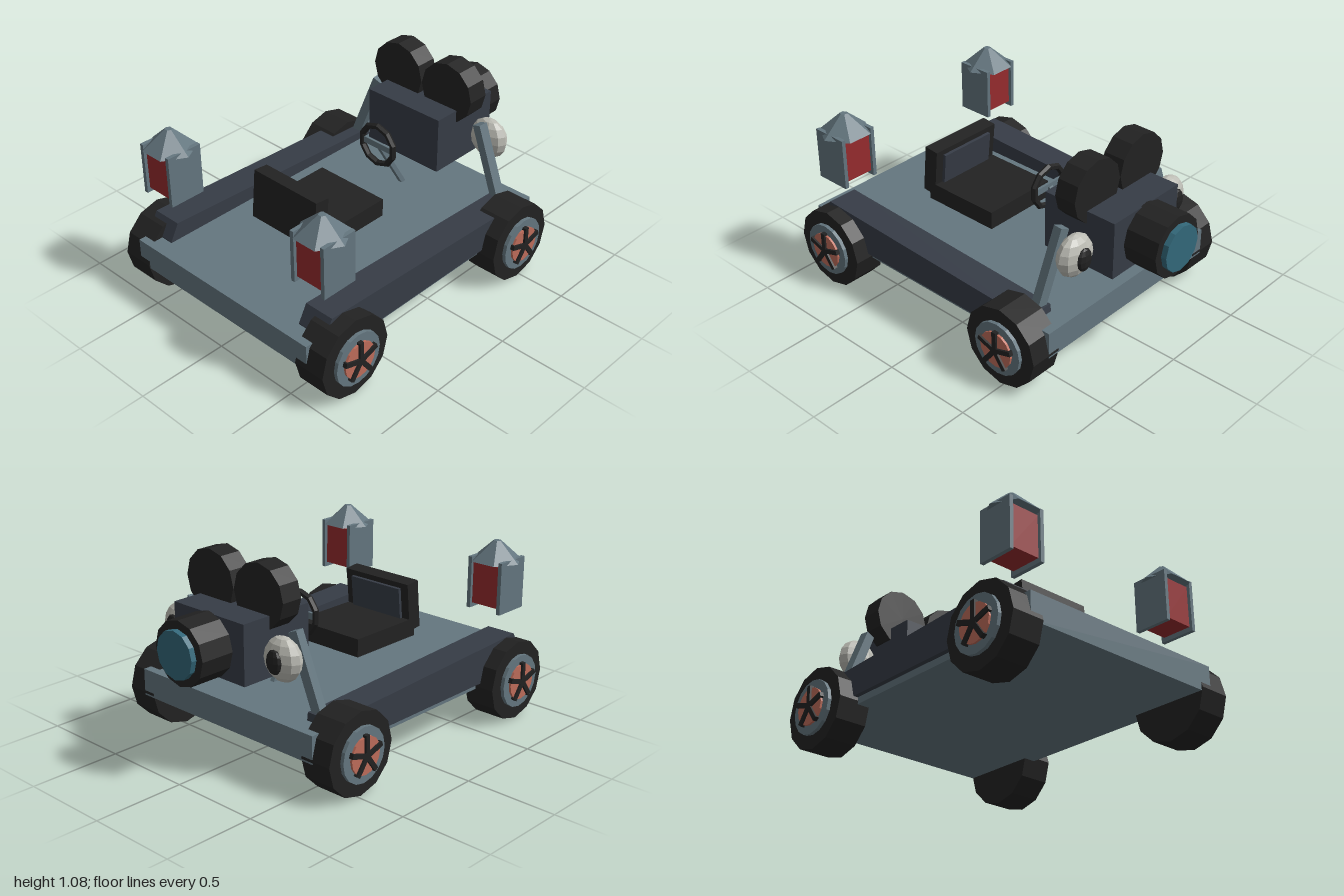
import * as THREE from 'three';

const mat = (name, color, side = THREE.FrontSide) =>
  Object.assign(new THREE.MeshStandardMaterial({ color, flatShading: true, side }), { name });

export function createModel() {
  const steel = mat('steel grey', 0x64767f);
  const slate = mat('dark slate', 0x363c46);
  const black = mat('black', 0x222222);
  const red = mat('lantern red', 0x962b2e);
  const coral = mat('hub coral', 0xbe6c5a);
  const white = mat('eye white', 0xbcbcb4);
  const teal = mat('lens teal', 0x33687a);

  const model = new THREE.Group();
  model.name = 'cameraKart';

  const add = (parent, name, geo, material, x = 0, y = 0, z = 0) => {
    const m = new THREE.Mesh(geo, material);
    m.name = name;
    m.position.set(x, y, z);
    parent.add(m);
    return m;
  };
  const box = (w, h, d) => new THREE.BoxGeometry(w, h, d);
  // Cylinders lying along x or z
  const cylX = (r, len, n) => new THREE.CylinderGeometry(r, r, len, n).rotateZ(-Math.PI / 2);
  const cylZ = (r, len, n) => new THREE.CylinderGeometry(r, r, len, n).rotateX(Math.PI / 2);
  // Square bar between two points
  const bar = (parent, name, a, b, w, material) => {
    const p = new THREE.Vector3(...a), q = new THREE.Vector3(...b);
    const m = add(parent, name, box(w, p.distanceTo(q), w), material);
    m.position.copy(p).add(q).multiplyScalar(0.5);
    m.quaternion.setFromUnitVectors(new THREE.Vector3(0, 1, 0), q.sub(p).normalize());
    return m;
  };
  const group = (name, x = 0, y = 0, z = 0) => {
    const g = new THREE.Group();
    g.name = name;
    g.position.set(x, y, z);
    model.add(g);
    return g;
  };

  // Chassis slab
  add(model, 'chassis', box(1.22, 0.147, 1.695), steel, 0, 0.2815, 0.1475);

  // Side rail profile (z, y), extruded across x
  const railShape = new THREE.Shape([
    [0.92, 0.245], [0.9, 0.36], [0.85, 0.452], [-0.58, 0.396], [-0.6, 0.245],
  ].map(([z, y]) => new THREE.Vector2(-z, y)));
  const railGeo = new THREE.ExtrudeGeometry(railShape, { depth: 0.17, bevelEnabled: false })
    .translate(0, 0, -0.085).rotateY(Math.PI / 2);

  for (const s of [1, -1]) {
    const side = s > 0 ? 'left' : 'right';
    add(model, side + 'Rail', railGeo, slate, s * 0.552, 0, 0);

    // Wheels with rim, hub disc and five spokes
    for (const [label, z] of [['Front', 0.78], ['Back', -0.48]]) {
      const wheel = group(side + label + 'Wheel', s * 0.63, 0.225, z);
      if (s < 0) wheel.rotation.y = Math.PI;
      add(wheel, 'tyre', cylX(0.222, 0.18, 12), black);
      add(wheel, 'rim', cylX(0.147, 0.04, 16), steel, 0.09);
      add(wheel, 'hubDisc', cylX(0.1, 0.03, 16), coral, 0.107);
      for (let i = 0; i < 5; i++) {
        add(wheel, 'spoke', box(0.03, 0.11, 0.026).translate(0, 0.055, 0), black, 0.118)
          .rotation.x = i * Math.PI * 2 / 5;
      }
    }

    // Strut
    bar(model, side + 'Strut', [s * 0.358, 0.775, -0.55], [s * 0.525, 0.35, -0.54], 0.053, steel);

    // Eye with pupil
    const eye = group(side + 'Eye', s * 0.36, 0.655, -0.635);
    add(eye, 'eyeball', new THREE.SphereGeometry(0.115, 10, 8), white).scale.z = 0.58;
    add(eye, 'pupil', new THREE.SphereGeometry(0.058, 10, 6), black, 0, 0, -0.062).scale.set(0.85, 1.1, 0.4);

    // Lantern with side plates and pointed roof
    const lantern = group(side + 'Lantern', s * 0.535, 0, 0.8);
    add(lantern, 'lanternGlass', box(0.18, 0.23, 0.17), red, 0, 0.735);
    for (const t of [1, -1]) {
      add(lantern, 'sidePlate', box(0.022, 0.285, 0.205), steel, t * 0.097, 0.7375);
    }
    add(lantern, 'lanternRoof', new THREE.CylinderGeometry(0.02, 0.14, 0.108, 6).rotateY(Math.PI / 6),
      steel, 0, 0.914);

    // Film reel
    add(model, side + 'Reel', cylZ(0.168, 0.122, 12).rotateZ(Math.PI / 12 * 2), black, s * 0.17, 0.916, -0.55);
  }

  // Seat
  const seat = group('seat');
  add(seat, 'cushion', box(0.44, 0.1, 0.46), black, 0, 0.478, 0.28);
  const back = new THREE.Group();
  back.name = 'backrest';
  back.position.set(0, 0.6, 0.5);
  back.rotation.x = -0.1;
  seat.add(back);
  add(back, 'backrestFrame', box(0.44, 0.27, 0.085), black);
  add(back, 'backrestPad', box(0.34, 0.19, 0.02), slate, 0, 0.01, -0.05);

  // Steering wheel and column
  const steering = group('steering', 0, 0.675, -0.148);
  add(steering, 'steeringRing', new THREE.TorusGeometry(0.112, 0.018, 6, 10).rotateZ(Math.PI / 10), black);
  add(steering, 'crossbar', box(0.2, 0.035, 0.015), steel);
  bar(model, 'steeringColumn', [0, 0.675, -0.155], [0, 0.34, -0.355], 0.026, steel);

  // Film camera
  const camera = group('filmCamera');
  add(camera, 'cameraBody', box(0.49, 0.315, 0.435), slate, 0, 0.678, -0.5625);
  add(camera, 'lensBarrel', cylZ(0.168, 0.195, 12), black, 0, 0.678, -0.8725);
  add(camera, 'lens', cylZ(0.125, 0.04, 12), teal, 0, 0.678, -0.98);

  return model;
}
